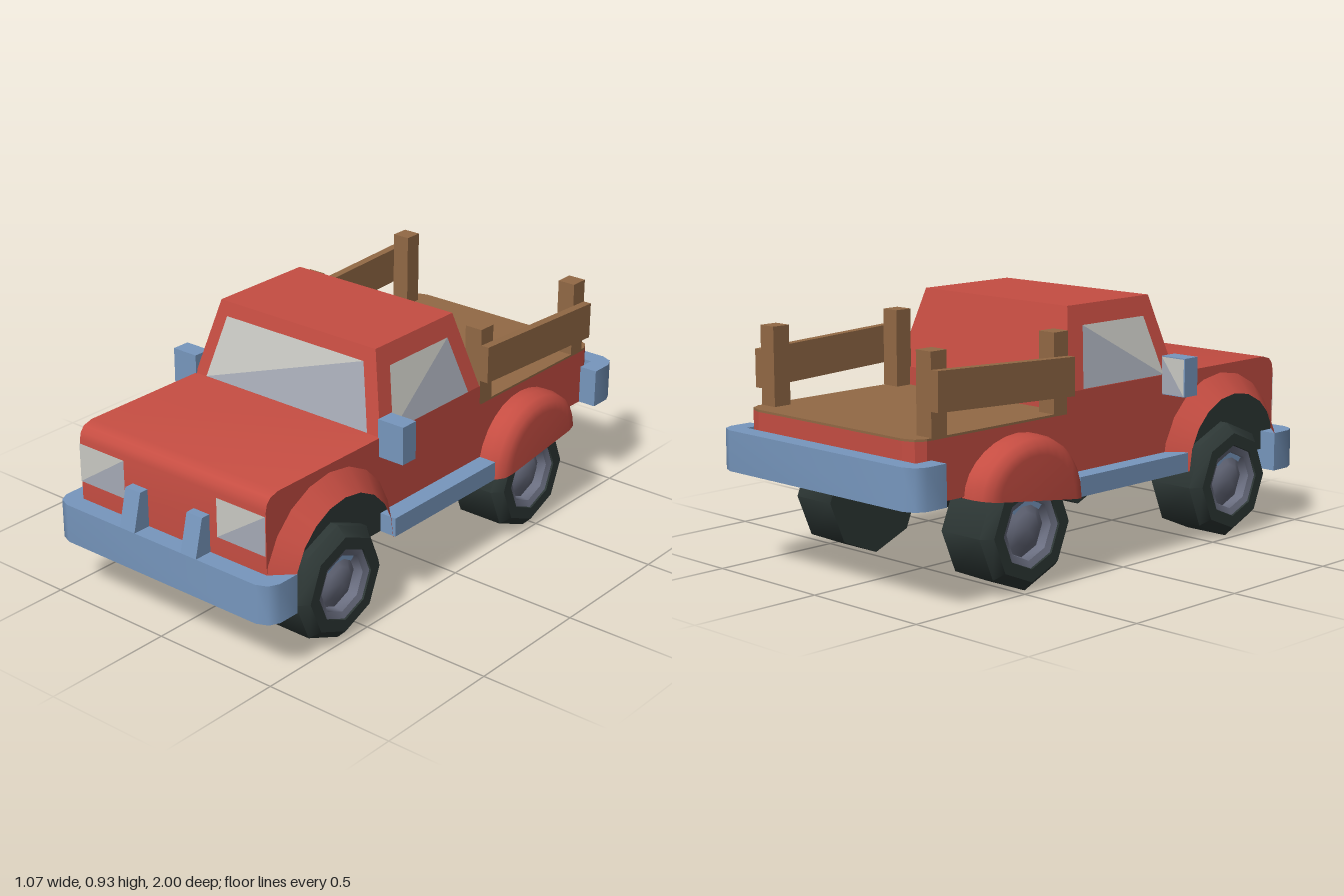
import * as THREE from 'three';
import { toCreasedNormals } from 'three/addons/utils/BufferGeometryUtils.js';

export function createModel() {
  const truck = new THREE.Group();
  truck.name = 'pickupTruck';

  const mat = (name, color, opts = {}) => {
    const m = new THREE.MeshStandardMaterial({ color, ...opts });
    m.name = name;
    return m;
  };
  const red = mat('red paint', 0xc54d42, { side: THREE.DoubleSide });
  const blue = mat('blue trim', 0x7797be);
  const wood = mat('wood', 0x926945);
  const glassLight = mat('light glass', 0xcacac4, { side: THREE.DoubleSide });
  const glassShade = mat('blue grey glass', 0xa6abb6, { side: THREE.DoubleSide });
  const rubber = mat('dark rubber', 0x2d3735);
  const under = mat('underbody black', 0x202626);
  const steel = mat('hub steel', 0x6a6e80);

  const add = (name, geo, material) => {
    const m = new THREE.Mesh(geo, material);
    m.name = name;
    truck.add(m);
  };
  // Box given by its limits
  const boxGeo = (x0, x1, y0, y1, z0, z1) =>
    new THREE.BoxGeometry(Math.abs(x1 - x0), y1 - y0, z1 - z0)
      .translate((x0 + x1) / 2, (y0 + y1) / 2, (z0 + z1) / 2);
  // Move every vertex by a rule
  const reshape = (geo, rule) => {
    const p = geo.attributes.position;
    const v = new THREE.Vector3();
    for (let i = 0; i < p.count; i++) {
      rule(v.fromBufferAttribute(p, i));
      p.setXYZ(i, v.x, v.y, v.z);
    }
    geo.computeVertexNormals();
    return geo;
  };
  const extrude = (pts, depth) =>
    new THREE.ExtrudeGeometry(new THREE.Shape(pts.map(([a, b]) => new THREE.Vector2(a, b))),
      { depth, bevelEnabled: false });
  // Glass pane split along its diagonal: shaded below a-c, light above
  const pane = (name, a, b, c, d) => {
    const g = new THREE.BufferGeometry();
    g.setAttribute('position', new THREE.Float32BufferAttribute([...a, ...b, ...c, ...a, ...c, ...d], 3));
    g.computeVertexNormals();
    g.addGroup(0, 3, 0);
    g.addGroup(3, 3, 1);
    add(name, g, [glassShade, glassLight]);
  };
  // Lathe turned so its axis runs outward along x on the given side
  const sideLathe = (pts, segs, side, half) => {
    const g = new THREE.LatheGeometry(pts.map(([r, h]) => new THREE.Vector2(r, h)), segs,
      half ? Math.PI : 0, half ? Math.PI : Math.PI * 2);
    g.rotateZ(-Math.PI / 2);
    if (side < 0) g.rotateY(Math.PI);
    return g;
  };

  // Hood and lower cab, from a side profile with a rounded nose
  const body = extrude([[0.93, 0.36], [0.93, 0.59], [0.924, 0.615], [0.908, 0.634], [0.87, 0.645],
    [-0.22, 0.645], [-0.22, 0.36]], 0.86);
  body.rotateY(-Math.PI / 2).translate(0.43, 0, 0);
  add('hoodAndLowerCab', toCreasedNormals(body, 0.6), red);

  // Cab, tapering toward the roof
  add('cab', reshape(boxGeo(-0.43, 0.43, 0.645, 0.93, -0.21, 0.35), (v) => {
    if (v.y > 0.8) {
      v.x *= 0.355 / 0.43;
      v.z = v.z > 0 ? 0.285 : -0.14;
    }
  }), red);

  // Windows lie just outside the sloped cab walls
  const rise = (y) => (y - 0.645) / 0.285;
  const shieldPt = (x, y) => [x, y, 0.354 - 0.065 * rise(y)];
  pane('windshield', shieldPt(-0.375, 0.648), shieldPt(0.375, 0.648),
    shieldPt(0.315, 0.88), shieldPt(-0.315, 0.88));

  // Cargo bed with cut rear corners, and its plank floor
  const bedOutline = [[-0.43, 0.22], [0.43, 0.22], [0.43, 0.88], [0.41, 0.915], [0.365, 0.93],
    [-0.365, 0.93], [-0.41, 0.915], [-0.43, 0.88]];
  const bed = (depth, y) => extrude(bedOutline, depth).rotateX(-Math.PI / 2).translate(0, y, 0);
  add('bed', bed(0.21, 0.36), red);
  add('bedFloor', bed(0.008, 0.57), wood);

  // Underside: deep between the axles, narrow between the wheels
  add('underbody', boxGeo(-0.43, 0.43, 0.352, 0.36, -0.71, 0.92), under);
  add('cabFloor', boxGeo(-0.43, 0.43, 0.29, 0.355, -0.22, 0.35), under);
  add('chassis', boxGeo(-0.285, 0.285, 0.292, 0.355, -0.66, 0.86), under);

  // Wraparound bumpers
  const bumper = () => extrude([[-0.43, 0.86], [-0.43, 0.93], [0.43, 0.93], [0.43, 0.86], [0.5, 0.86],
    [0.5, 0.945], [0.482, 0.982], [0.44, 1], [-0.44, 1], [-0.482, 0.982], [-0.5, 0.945],
    [-0.5, 0.86]], 0.145).rotateX(-Math.PI / 2);
  add('rearBumper', toCreasedNormals(bumper().translate(0, 0.36, 0), 0.8), blue);
  add('frontBumper', toCreasedNormals(bumper().rotateY(Math.PI).translate(0, 0.215, 0), 0.8), blue);

  const frontZ = 0.615, rearZ = -0.465;
  for (const s of [1, -1]) {
    const side = s > 0 ? 'left' : 'right';

    // Side window
    const winPt = (z, y) => [s * (0.434 - 0.075 * rise(y)), y, z];
    pane(side + 'SideWindow', winPt(0.285, 0.648), winPt(-0.14, 0.648),
      winPt(-0.085, 0.86), winPt(0.235, 0.86));

    // Headlight
    const lx = s > 0 ? 0.215 : -0.43;
    pane(side + 'Headlight', [lx, 0.43, 0.934], [lx + 0.215, 0.43, 0.934],
      [lx + 0.215, 0.575, 0.934], [lx, 0.575, 0.934]);

    // Mirror with glass on its rear face
    add(side + 'Mirror', boxGeo(s * 0.425, s * 0.533, 0.575, 0.715, 0.285, 0.355), blue);
    pane(side + 'MirrorGlass', [s * 0.53, 0.578, 0.282], [s * 0.428, 0.578, 0.282],
      [s * 0.428, 0.712, 0.282], [s * 0.53, 0.712, 0.282]);

    // Bumper guard and running board
    add(side + 'BumperGuard', reshape(boxGeo(s * 0.108, s * 0.178, 0.36, 0.5, 0.93, 1), (v) => {
      if (v.y > 0.4 && v.z > 0.95) v.z = 0.965;
    }), blue);
    add(side + 'RunningBoard', boxGeo(s * 0.43, s * 0.5, 0.29, 0.36, -0.225, 0.35), blue);

    // Front fender arch, sloping from the body to a narrower open rim
    add(side + 'FrontFender', sideLathe([[0.325, 0.43], [0.255, 0.5]], 10, s, true)
      .translate(0, 0.29, frontZ), red);
    add(side + 'WheelWell', sideLathe([[0.318, 0.434], [0, 0.434]], 10, s, true)
      .translate(0, 0.29, frontZ), rubber);

    // Rear fender dome, its lower edge rising toward the tail
    const dome = sideLathe([[0.25, 0.42], [0.25, 0.47], [0.24, 0.505], [0.215, 0.527], [0.18, 0.535],
      [0, 0.535]], 14, s, true);
    add(side + 'RearFender', reshape(dome, (v) => {
      v.y += 0.065 * (0.25 - v.z) / 0.5 * (1 - v.y / 0.25);
    }).translate(0, 0.29, rearZ), red);

    // Stake posts and a side plank, the two planks tilted opposite ways
    for (const z of [-0.285, -0.86]) {
      add(side + 'StakePost', boxGeo(s * 0.36, s * 0.43, 0.575, 0.86, z, z + 0.07), wood);
    }
    add(side + 'SidePlank', reshape(boxGeo(s * 0.43, s * 0.462, 0.65, 0.787, -0.86, -0.215), (v) => {
      v.y += s * 0.014 * Math.sign(v.z + 0.5375);
    }), wood);

    // Eight-sided wheels with a recessed hub and a bright arc over the cap
    for (const [end, z] of [['Front', frontZ], ['Rear', rearZ]]) {
      const place = (geo) => toCreasedNormals(geo.translate(0, 0.215, z), 0.8);
      add(side + end + 'Tyre', place(sideLathe([[0, 0.285], [0.215, 0.285], [0.215, 0.465], [0.18, 0.5],
        [0.135, 0.5], [0.13, 0.485]], 8, s)), rubber);
      add(side + end + 'Hub', place(sideLathe([[0.134, 0.494], [0.108, 0.485], [0.102, 0.45], [0.09, 0.455],
        [0.06, 0.475], [0, 0.485]], 8, s)), steel);
      add(side + end + 'HubArc', place(new THREE.RingGeometry(0.084, 0.104, 2, 1, Math.PI / 4, Math.PI / 2)
        .rotateY(s * Math.PI / 2).translate(s * 0.474, 0, 0)), blue);
    }
  }
  return truck;
}
